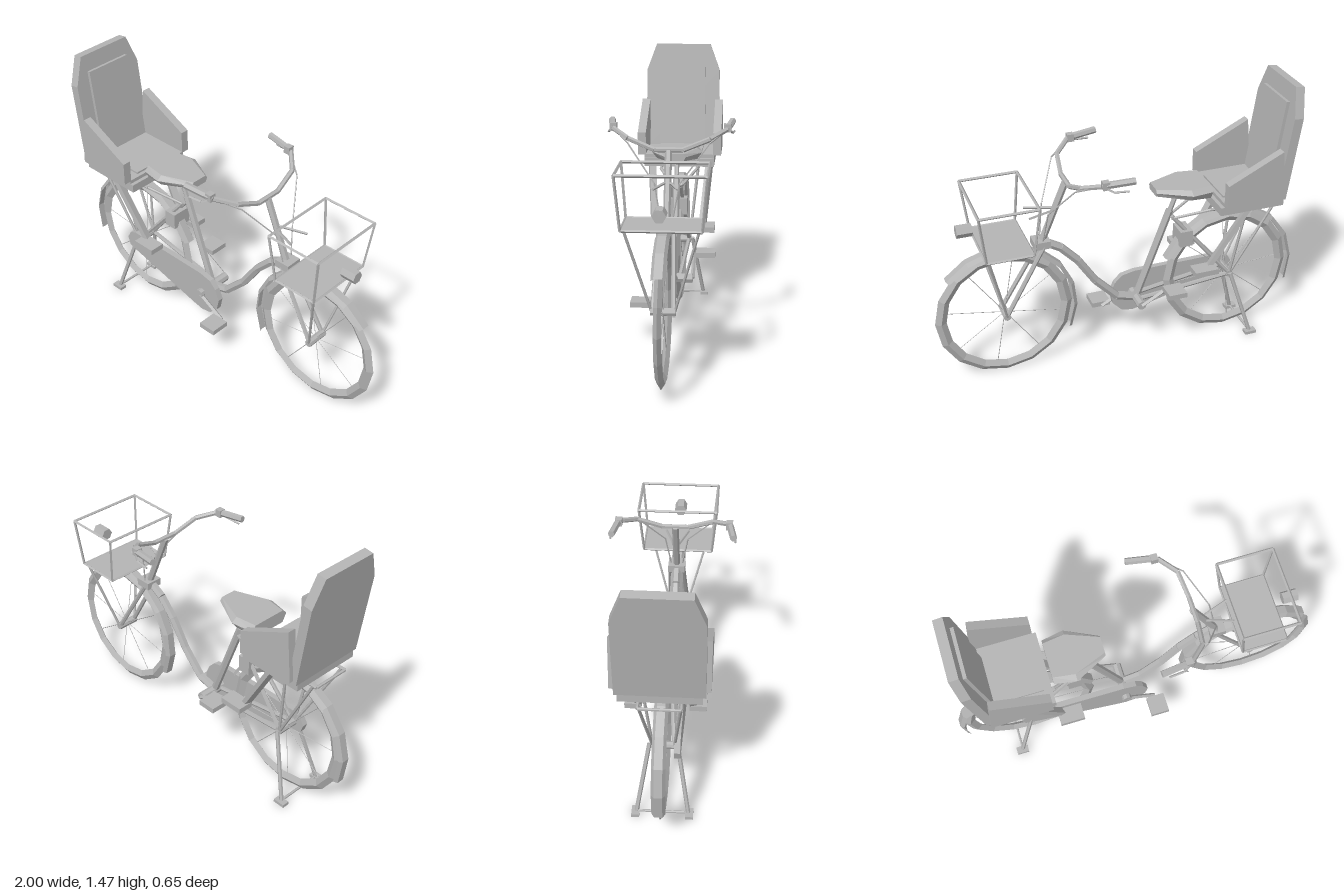
import * as THREE from 'three';

export function createModel() {
  const root = new THREE.Group();
  root.name = 'bicycle';
  const grey = new THREE.MeshStandardMaterial({ color: 0xb4b4b4, flatShading: true, side: THREE.DoubleSide });
  grey.name = 'grey';

  const V = (p) => new THREE.Vector3(...p);
  const add = (name, geo, parent = root) => {
    const m = new THREE.Mesh(geo, grey);
    m.name = name;
    parent.add(m);
    return m;
  };
  // straight tube between two points
  const bar = (name, a, b, r, sides = 6, parent = root) => {
    const p = V(a), q = V(b), d = q.clone().sub(p);
    const m = add(name, new THREE.CylinderGeometry(r, r, d.length(), sides), parent);
    m.position.copy(p).add(q).multiplyScalar(0.5);
    m.quaternion.setFromUnitVectors(new THREE.Vector3(0, 1, 0), d.normalize());
    return m;
  };
  // jointed tube through several points
  const path = (name, pts, r, sides = 6) => {
    const g = new THREE.Group();
    g.name = name;
    root.add(g);
    for (let i = 1; i < pts.length; i++) bar(name + 'Part', pts[i - 1], pts[i], r, sides, g);
  };
  // box given by its min and max on each axis
  const box = (name, x0, x1, y0, y1, z0, z1) => {
    const m = add(name, new THREE.BoxGeometry(x1 - x0, y1 - y0, Math.abs(z1 - z0)));
    m.position.set((x0 + x1) / 2, (y0 + y1) / 2, (z0 + z1) / 2);
    return m;
  };
  const plate = (name, outline, depth, z) => {
    const s = new THREE.Shape(outline.map(([x, y]) => new THREE.Vector2(x, y)));
    const m = add(name, new THREE.ExtrudeGeometry(s, { depth, bevelEnabled: false }));
    m.position.z = z;
    return m;
  };
  // surface through a list of equal-length point rows
  const skin = (name, rows) => {
    const n = rows[0].length, idx = [];
    for (let i = 0; i < rows.length - 1; i++)
      for (let j = 0; j < n - 1; j++) {
        const a = i * n + j, b = a + n;
        idx.push(a, b, a + 1, b, b + 1, a + 1);
      }
    const g = new THREE.BufferGeometry();
    g.setAttribute('position', new THREE.Float32BufferAttribute(rows.flat(2), 3));
    g.setIndex(idx);
    g.computeVertexNormals();
    return add(name, g);
  };

  // wheels with spokes, hubs and mudguards
  const wheel = (side, x, spokeStart, from, to) => {
    const y = 0.368;
    const tyre = add(side + 'Tyre', new THREE.TorusGeometry(0.335, 0.03, 4, 16));
    tyre.scale.z = 0.65;
    tyre.position.set(x, y, 0);
    for (let i = 0; i < 8; i++) {
      const a = (spokeStart + i * 45) * Math.PI / 180;
      bar(side + 'Spoke', [x, y, 0], [x + 0.32 * Math.cos(a), y + 0.32 * Math.sin(a), 0], 0.002, 4);
    }
    bar(side + 'Hub', [x, y, -0.06], [x, y, 0.06], 0.02, 8);
    const rows = [];
    for (let i = 0; i <= 8; i++) {
      const a = (from + (to - from) * i / 8) * Math.PI / 180;
      rows.push([[0.37, -0.034], [0.39, -0.02], [0.39, 0.02], [0.37, 0.034]]
        .map(([r, z]) => [x + r * Math.cos(a), y + r * Math.sin(a), z]));
    }
    skin(side + 'Mudguard', rows);
  };
  wheel('rear', -0.612, 85, 199, 22);
  wheel('front', 0.635, 100, 204, 41);

  // frame
  bar('seatTube', [-0.09, 0.3, 0], [-0.275, 0.8, 0], 0.02);
  bar('seatPost', [-0.27, 0.78, 0], [-0.315, 0.9, 0], 0.013);
  path('downTube', [[-0.09, 0.3, 0], [0.02, 0.33, 0], [0.14, 0.455, 0], [0.235, 0.6, 0], [0.325, 0.695, 0], [0.42, 0.75, 0]], 0.023);
  bar('bottomBracket', [-0.09, 0.3, -0.1], [-0.09, 0.3, 0.11], 0.025, 8);
  bar('steeringColumn', [0.43, 0.73, 0], [0.285, 1.075, 0], 0.018);
  box('headClamp', 0.385, 0.47, 0.725, 0.765, -0.045, 0.045);
  box('wheelLock', -0.39, -0.32, 0.59, 0.68, -0.055, 0.055);

  // chain case, cranks and pedals
  plate('chainCase', [[-0.675, 0.37], [-0.65, 0.415], [-0.61, 0.43], [-0.1, 0.425], [-0.03, 0.41], [0.01, 0.37],
    [0.035, 0.31], [0.02, 0.24], [-0.03, 0.19], [-0.09, 0.178], [-0.15, 0.19], [-0.62, 0.31], [-0.66, 0.325]], 0.03, 0.055);
  for (const s of [1, -1]) {
    const dx = 0.16 * s, dy = -0.09 * s;
    bar('crank', [-0.09, 0.3, 0.1 * s], [-0.09 + dx, 0.3 + dy, 0.1 * s], 0.011, 4);
    const px = -0.09 + dx;
    box('pedal', px - 0.05, px + 0.05, 0.29 + dy, 0.318 + dy, 0.11 * s, 0.215 * s);
  }

  // paired left and right parts
  for (const s of [1, -1]) {
    bar('chainStay', [-0.09, 0.3, 0.03 * s], [-0.612, 0.368, 0.05 * s], 0.012);
    bar('seatStay', [-0.28, 0.77, 0.02 * s], [-0.612, 0.368, 0.05 * s], 0.011);
    bar('forkLeg', [0.42, 0.735, 0.035 * s], [0.635, 0.368, 0.05 * s], 0.012);
    bar('carrierStayRear', [-0.85, 0.815, 0.1 * s], [-0.62, 0.375, 0.055 * s], 0.008);
    bar('carrierStayFront', [-0.68, 0.815, 0.1 * s], [-0.615, 0.375, 0.055 * s], 0.008);
    path('carrierRail', [[-0.87, 0.815, 0.1 * s], [-0.47, 0.815, 0.1 * s], [-0.28, 0.755, 0.02 * s]], 0.008);
    bar('basketStay', [0.735, 0.78, 0.17 * s], [0.635, 0.368, 0.055 * s], 0.007);
    // kickstand
    bar('standLeg', [-0.615, 0.375, 0.07 * s], [-0.72, 0.015, 0.13 * s], 0.011);
    box('standFoot', -0.755, -0.69, 0.001, 0.018, 0.115 * s, 0.155 * s);
    // child footrests
    const strut = bar('footrestStrut', [-0.65, 0.83, 0.165 * s], [-0.455, 0.5, 0.135 * s], 0.02, 4);
    strut.geometry.rotateY(Math.PI / 4).scale(0.9, 1, 1.35);
    box('footrest', -0.48, -0.35, 0.48, 0.51, 0.12 * s, 0.205 * s);
    // child seat side guards
    plate('sideGuard', [[-0.82, 0.885], [-0.5, 0.885], [-0.5, 1.01], [-0.795, 1.155]], 0.045, s > 0 ? 0.188 : -0.233);
    // handlebar controls
    bar('grip', [0.03, 1.175, 0.305 * s], [0.17, 1.165, 0.285 * s], 0.018);
    box('brakeClamp', 0.155, 0.19, 1.145, 1.185, 0.265 * s, 0.3 * s);
    path('brakeLever', [[0.17, 1.15, 0.295 * s], [0.14, 1.135, 0.31 * s], [0.065, 1.13, 0.315 * s]], 0.006, 4);
    path('brakeCable', [[0.19, 1.155, 0.275 * s], [0.3, 1.11, 0.2 * s], [0.4, 0.93, 0.06 * s], [0.425, 0.76, 0.03 * s]], 0.004, 4);
    bar('basketBracket', [0.36, 0.925, 0.015 * s], [0.495, 0.925, 0.06 * s], 0.007, 4);
  }
  bar('standCrossbar', [-0.72, 0.015, -0.13], [-0.72, 0.015, 0.13], 0.007);
  bar('carrierEnd', [-0.87, 0.815, -0.1], [-0.87, 0.815, 0.1], 0.008);
  bar('carrierCrossbar', [-0.66, 0.815, -0.17], [-0.66, 0.815, 0.17], 0.008);

  // handlebar
  path('handlebar', [[0.16, 1.165, 0.287], [0.19, 1.16, 0.28], [0.27, 1.125, 0.2], [0.29, 1.075, 0.07],
    [0.29, 1.075, -0.07], [0.27, 1.125, -0.2], [0.19, 1.16, -0.28], [0.16, 1.165, -0.287]], 0.013);

  // saddle from three stacked outlines
  const half = [[-0.465, 0.12], [-0.35, 0.14], [-0.18, 0.055]];
  const outline = [...half, ...half.map(([x, z]) => [x, -z]).reverse(), half[0]];
  const ring = (k, yBack, yFront) => outline.map(([x, z]) =>
    [-0.33 + (x + 0.33) * (k ? 1 : 0), yBack + (yFront - yBack) * (x + 0.465) / 0.285, z * k]);
  skin('saddle', [ring(0, 0.92, 0.92), ring(0.8, 0.885, 0.918), ring(1, 0.93, 0.94), ring(0.78, 0.955, 0.957), ring(0, 0.956, 0.956)]);

  // child seat
  box('childSeatBase', -0.835, -0.48, 0.825, 0.87, -0.195, 0.195);
  box('childSeatPan', -0.82, -0.5, 0.87, 0.89, -0.195, 0.195);
  box('childSeatCushion', -0.77, -0.52, 0.885, 0.9, -0.125, 0.125);
  const tilted = (name, pts, depth, x) => {
    const m = plate(name, pts, depth, 0);
    m.geometry.rotateY(Math.PI / 2).translate(x, 0, 0);
    m.rotation.z = 0.143;
    m.position.set(-0.838, 0.865, 0);
  };
  tilted('backrest', [[-0.21, 0], [0.21, 0], [0.21, 0.45], [0.155, 0.6], [-0.155, 0.6], [-0.21, 0.45]], 0.05, 0);
  tilted('backrestPad', [[-0.13, 0.03], [0.13, 0.03], [0.13, 0.51], [-0.13, 0.51]], 0.018, 0.05);

  // basket
  const top = [[0.48, 0.21], [0.78, 0.21], [0.78, -0.21], [0.48, -0.21]].map(([x, z]) => [x, 1.053, z]);
  const low = [[0.51, 0.187], [0.75, 0.187], [0.75, -0.187], [0.51, -0.187]].map(([x, z]) => [x, 0.79, z]);
  for (let i = 0; i < 4; i++) {
    bar('basketRim', top[i], top[(i + 1) % 4], 0.008, 4);
    bar('basketCorner', top[i], low[i], 0.007, 4);
    bar('basketFootRail', low[i], low[(i + 1) % 4], 0.007, 4);
  }
  box('basketFloor', 0.51, 0.75, 0.783, 0.793, -0.187, 0.187);

  // headlamp
  bar('headlamp', [0.775, 0.888, 0], [0.855, 0.888, 0], 0.033, 6);

  return root;
}
